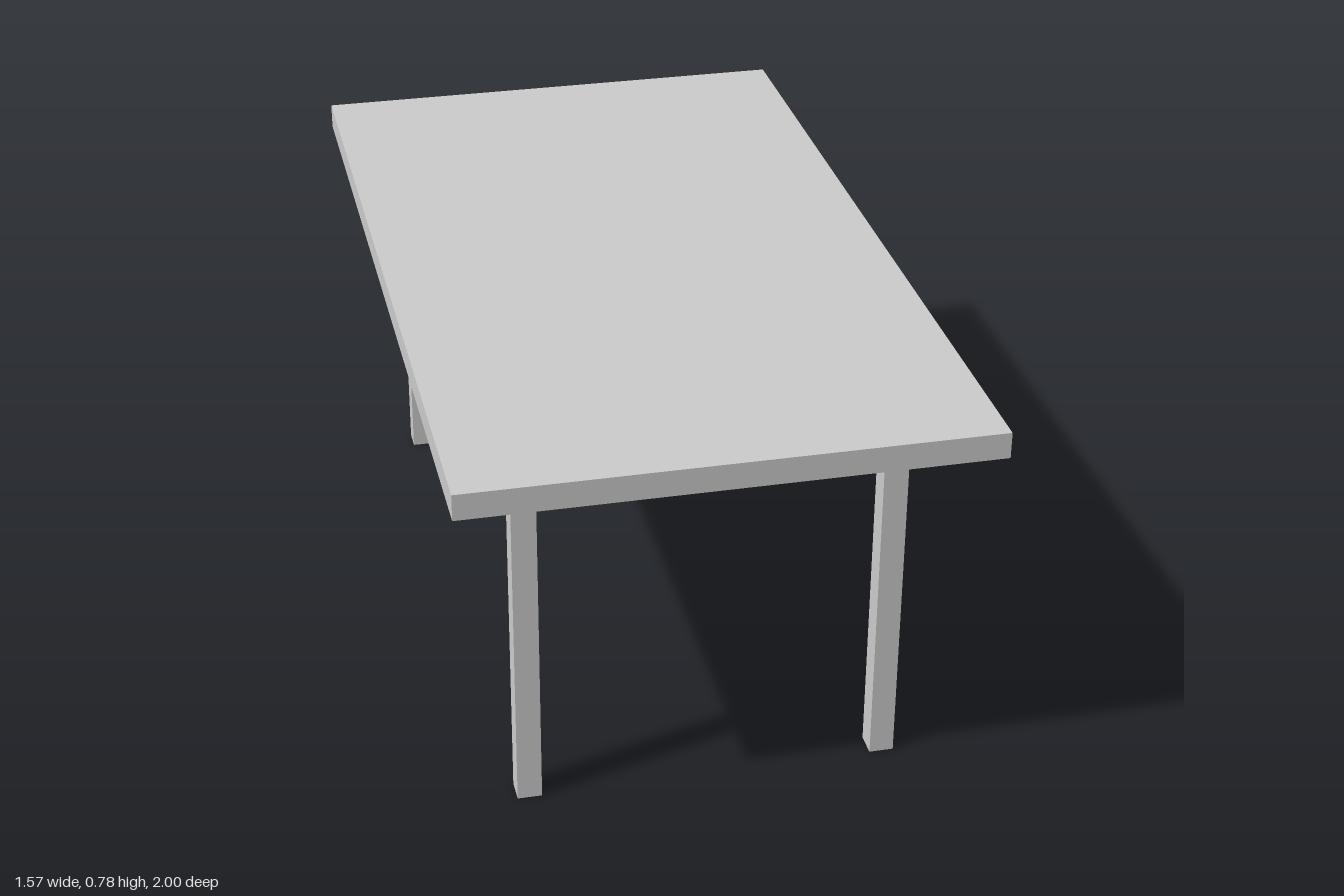
import * as THREE from 'three';

export function createModel() {
  const model = new THREE.Group();
  const material = new THREE.MeshStandardMaterial({ color: 0xcccccc, flatShading: true });

  // The whole table stands turned about the vertical axis
  const table = new THREE.Group();
  table.name = 'table';
  table.rotation.y = THREE.MathUtils.degToRad(-20.93);
  model.add(table);

  const addBox = (name, w, h, d, x, y, z) => {
    const mesh = new THREE.Mesh(new THREE.BoxGeometry(w, h, d), material);
    mesh.name = name;
    mesh.position.set(x, y, z);
    table.add(mesh);
  };

  const height = 0.779, thickness = 0.052;
  const legHeight = height - thickness, legSize = 0.0475;

  // Top slab
  addBox('tableTop', 1.012, thickness, 1.75, 0, height - thickness / 2, 0);

  // Four square legs, set slightly off the slab's centre
  for (const [side, sx] of [['Right', -1], ['Left', 1]]) {
    for (const [end, sz] of [['front', 1], ['back', -1]]) {
      addBox(`${end}${side}Leg`, legSize, legHeight, legSize,
        -0.007 + sx * 0.35, legHeight / 2, 0.016 + sz * 0.69);
    }
  }
  return model;
}
